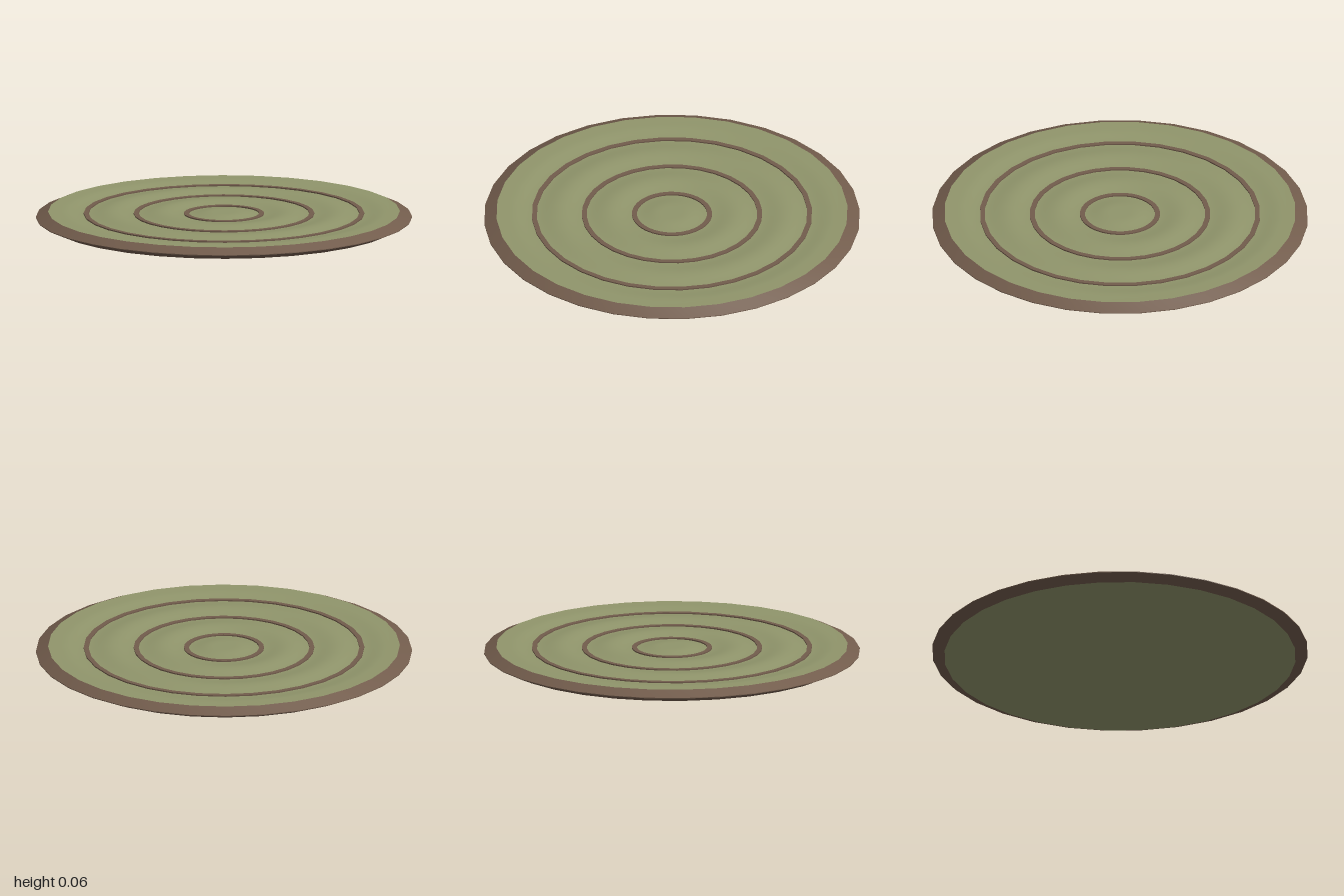
import * as THREE from 'three';
import { toCreasedNormals } from 'three/addons/utils/BufferGeometryUtils.js';

const SIDES = 32;
const RIM_INNER = 0.935;
const HEIGHT = 0.062;
const RINGS = [0.2, 0.467, 0.733]; // evenly spaced, one in each trough
const SPACING = 0.267;

export function createModel() {
  const green = new THREE.MeshStandardMaterial({ color: 0x90956b });
  green.name = 'sage green';
  const brown = new THREE.MeshStandardMaterial({ color: 0x725c4c });
  brown.name = 'earth brown';

  const model = new THREE.Group();
  model.name = 'rippledDisc';

  const add = (name, geometry, material) => {
    const mesh = new THREE.Mesh(geometry, material);
    mesh.name = name;
    model.add(mesh);
  };
  const lathe = (points, sides) =>
    new THREE.LatheGeometry(points.map(([r, y]) => new THREE.Vector2(r, y)), sides);

  // Height of the rippled top at radius r, lowest under each ring
  const ripple = (r) => 0.054 - 0.007 * Math.cos(((r - RINGS[0]) / SPACING) * Math.PI * 2);

  // Bevelled rim, round about but sharp between its bands
  const rim = lathe([
    [RIM_INNER, 0], [1, HEIGHT / 2 - 0.002], [1, HEIGHT / 2 + 0.002], [RIM_INNER, HEIGHT],
  ], SIDES);
  add('rim', toCreasedNormals(rim, 0.4), brown);

  // Gently rippled top, from the rim to the centre
  const profile = [[RIM_INNER, HEIGHT]];
  for (let i = 42; i >= 0; i--) {
    const r = (i / 42) * 0.88;
    // Level the very middle so that it has no peak or pit
    profile.push([r, ripple(Math.max(r, 0.067))]);
  }
  add('rippledTop', lathe(profile, SIDES), green);

  // Flat underside
  const underside = new THREE.CircleGeometry(RIM_INNER, SIDES);
  underside.rotateX(Math.PI / 2);
  add('underside', underside, green);

  // Raised concentric rings lying in the troughs
  RINGS.forEach((r, i) => {
    const inner = r - 0.013, outer = r + 0.013;
    const ring = lathe([
      [outer, 0.042], [outer, 0.054], [inner, 0.054], [inner, 0.042],
    ], SIDES);
    add(`ring${i + 1}`, toCreasedNormals(ring, 0.4), brown);
  });

  return model;
}
